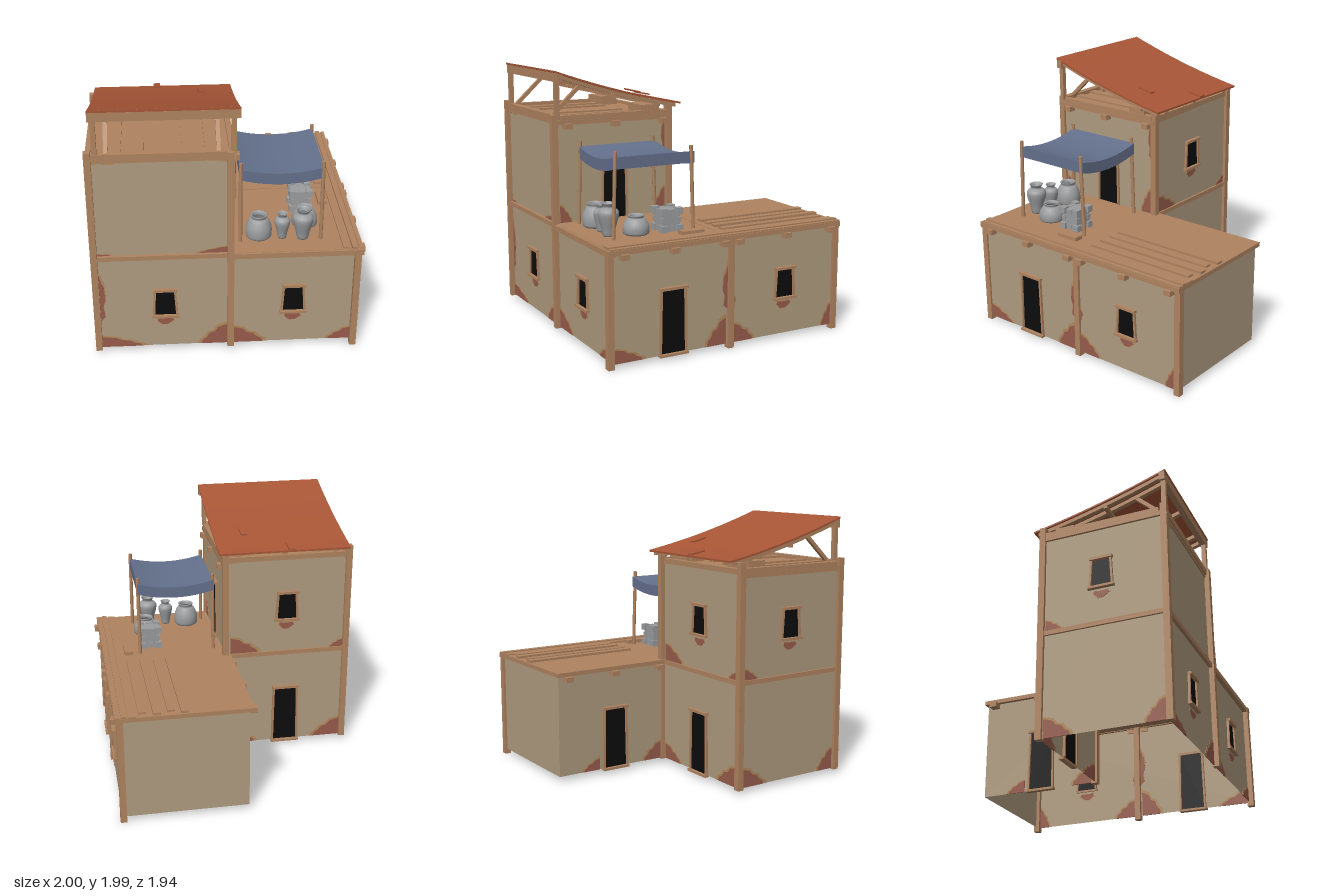
import * as THREE from 'three';

const std = (name, color, side = THREE.FrontSide) => {
  const m = new THREE.MeshStandardMaterial({ color, side });
  m.name = name;
  return m;
};

export function createModel() {
  const root = new THREE.Group();
  root.name = 'house';
  const plaster = std('plaster', 0xb09c80, THREE.DoubleSide);
  const wood = std('wood', 0xb08460);
  const brick = std('brick', 0x985c4c);
  const clayEdge = std('clay edge', 0xb08a5c);
  const dark = std('dark opening', 0x0c0c0c);
  const rust = std('rust roof', 0xa85636);
  const cloth = std('blue cloth', 0x64708c, THREE.DoubleSide);
  const stone = std('grey pottery', 0x9a9c9e, THREE.DoubleSide);

  const add = (name, geo, mat, parent = root) => {
    const m = new THREE.Mesh(geo, mat);
    m.name = name;
    parent.add(m);
    return m;
  };
  // box from its limits
  const box = (name, mat, x0, x1, y0, y1, z0, z1, parent = root) => {
    const m = add(name, new THREE.BoxGeometry(x1 - x0, y1 - y0, z1 - z0), mat, parent);
    m.position.set((x0 + x1) / 2, (y0 + y1) / 2, (z0 + z1) / 2);
    return m;
  };
  // square or round bar between two points
  const bar = (name, a, b, r, sides) => {
    const p = new THREE.Vector3(...a), d = new THREE.Vector3(...b).sub(p);
    const geo = new THREE.CylinderGeometry(r, r, d.length(), sides);
    if (sides === 4) geo.rotateY(Math.PI / 4);
    const m = add(name, sides === 4 ? geo.toNonIndexed() : geo, wood);
    if (sides === 4) m.geometry.computeVertexNormals();
    m.position.copy(p).addScaledVector(d, 0.5);
    m.quaternion.setFromUnitVectors(new THREE.Vector3(0, 1, 0), d.normalize());
  };
  // wall whose local x runs along it and local z points outward
  const wall = (name, u0, u1, y0, y1, x, z, turn) => {
    const g = new THREE.Group();
    g.name = name;
    g.position.set(x, 0, z);
    g.rotation.y = turn * Math.PI / 2;
    root.add(g);
    add(name + 'Panel', new THREE.PlaneGeometry(u1 - u0, y1 - y0), plaster, g)
      .position.set((u0 + u1) / 2, (y0 + y1) / 2, 0);
    return g;
  };
  const plate = (name, pts, mat, depth, g) =>
    add(name, new THREE.ExtrudeGeometry(new THREE.Shape(pts.map(p => new THREE.Vector2(...p))),
      { depth, bevelEnabled: false }), mat, g).position.z = -depth / 2;
  // exposed brick with a rim of clay
  const patch = (g, u, y, w, h, outline) => {
    const at = k => outline.map(([a, b]) => [u + a * w * k, y + b * h * k]);
    plate('clayRim', at(1.13), clayEdge, 0.004, g);
    plate('brickPatch', at(1), brick, 0.008, g);
  };
  const CORNER = [[0, 0], [1, 0], [0.95, 0.2], [0.78, 0.34], [0.68, 0.56], [0.48, 0.62], [0.34, 0.86], [0, 1]];
  const STRIP = [[0, 0], [0.8, 0.08], [0.55, 0.3], [1, 0.45], [0.8, 0.75], [0.4, 0.82], [0, 1]];
  const BLOB = [[-0.8, -0.3], [-0.4, -1], [0.3, -0.9], [0.6, -0.4], [1, 0.1], [0.8, 0.8], [-0.3, 0.7], [-0.9, 0.9], [-1, 0.2]];
  const corner = (g, u, y, w, h) => patch(g, u, y, w, h, CORNER);
  const strip = (g, u, y, w, h) => patch(g, u, y, w, h, STRIP);

  // tapered opening with frame
  const opening = (kind, g, u, y0, y1, wt, wb, sill) => {
    plate(kind + 'Opening', [[u - wb, y0], [u + wb, y0], [u + wt, y1], [u - wt, y1]], dark, 0.009, g);
    box(kind + 'Lintel', wood, u - wt - 0.02, u + wt + 0.025, y1, y1 + 0.02, -0.01, 0.03, g);
    box(kind + 'Sill', wood, u - wb - sill, u + wb + sill, y0 - 0.018, y0, -0.01, 0.03, g);
    for (const s of [-1, 1]) {
      plate(kind + 'Jamb', [[u + s * wb, y0], [u + s * (wb + 0.016), y0],
        [u + s * (wt + 0.016), y1], [u + s * wt, y1]], wood, 0.036, g);
    }
  };
  const windowAt = (g, u, floor) => {
    opening('window', g, u, floor + 0.32, floor + 0.53, 0.065, 0.077, 0.024);
    patch(g, u, floor + 0.26, 0.06, 0.03, BLOB);
  };
  const doorAt = (g, u, y) => opening('door', g, u, y, y + 0.465, 0.088, 0.096, 0.018);

  // walls
  const front = wall('frontWall', -0.97, 0.94, 0.04, 0.82, 0, 0.93, 0);
  const frontUp = wall('towerFrontWall', -0.97, 0.01, 0.82, 1.62, 0, 0.93, 0);
  const right = wall('rightWall', -0.93, 0.95, 0.035, 0.82, 0.94, 0, 1);
  const rightUp = wall('towerRightWall', -0.93, 0, 0.82, 1.62, 0.01, 0, 1);
  wall('wingBackWall', -0.94, 0, 0.04, 0.82, 0, -0.95, 2);
  const wingLeft = wall('wingLeftWall', -0.95, 0, 0.04, 0.82, 0, 0, -1);
  const back = wall('towerBackWall', 0, 0.97, 0.04, 1.62, 0, 0, 2);
  const left = wall('towerLeftWall', 0, 0.93, 0.04, 1.62, -0.975, 0, -1);

  windowAt(front, -0.475, 0);
  windowAt(front, 0.47, 0);
  windowAt(right, 0.485, 0);
  windowAt(back, 0.485, 0.8);
  windowAt(left, 0.46, 0.8);
  doorAt(right, -0.46, 0.045);
  doorAt(rightUp, -0.46, 0.845);
  doorAt(back, 0.485, 0.045);
  doorAt(wingLeft, -0.46, 0.045);

  corner(front, -0.95, 0.04, 0.3, 0.09);
  corner(front, -0.02, 0.04, -0.19, 0.17);
  corner(front, 0.02, 0.04, 0.23, 0.14);
  corner(front, 0.91, 0.04, -0.17, 0.1);
  strip(front, -0.95, 0.28, 0.04, 0.4);
  corner(frontUp, -0.02, 0.845, -0.2, 0.045);
  strip(frontUp, -0.95, 0.84, 0.1, 0.02);
  corner(right, -0.92, 0.035, 0.22, 0.1);
  corner(right, -0.02, 0.035, -0.16, 0.2);
  strip(right, -0.01, 0.3, -0.04, 0.32);
  corner(right, 0.04, 0.035, 0.17, 0.14);
  strip(right, 0.03, 0.3, 0.03, 0.1);
  corner(right, 0.93, 0.035, -0.09, 0.17);
  corner(rightUp, -0.91, 0.845, 0.09, 0.13);
  corner(rightUp, -0.02, 0.845, -0.1, 0.2);
  strip(rightUp, -0.02, 1.3, -0.03, 0.3);
  corner(back, 0.03, 0.04, 0.2, 0.12);
  corner(back, 0.95, 0.04, -0.22, 0.15);
  corner(back, 0.03, 0.845, 0.22, 0.13);
  corner(back, 0.95, 0.845, -0.1, 0.06);
  corner(left, 0.03, 0.04, 0.2, 0.14);
  corner(left, 0.91, 0.04, -0.14, 0.16);
  corner(left, 0.03, 0.845, 0.12, 0.08);
  corner(wingLeft, -0.03, 0.04, -0.16, 0.14);
  corner(wingLeft, -0.6, 0.04, -0.14, 0.09);
  // clay showing along the tower's top edge
  plate('clayTopEdge', [[-0.95, 1.62], [-0.95, 1.58], [-0.92, 1.58], [-0.9, 1.595], [-0.87, 1.575], [-0.8, 1.575],
    [-0.78, 1.6], [-0.2, 1.6], [-0.1, 1.59], [-0.02, 1.57], [-0.02, 1.62]], clayEdge, 0.006, frontUp);

  // corner posts: x, z, bottom, top
  for (const [x, z, y0, y1] of [[-0.975, 0.94, 0.03, 1.68], [0.005, 0.945, 0.03, 1.66], [-0.975, 0, 0.03, 1.7],
    [0.01, -0.01, 0.03, 1.7], [0.93, 0.945, 0, 0.82], [0.935, -0.015, 0, 0.82], [0.935, -0.945, 0, 0.82]]) {
    box('cornerPost', wood, x - 0.024, x + 0.024, y0, y1, z - 0.024, z + 0.024);
  }

  // floor bands
  box('frontBand', wood, -0.97, 0, 0.81, 0.845, 0.91, 0.955);
  box('leftBand', wood, -0.99, -0.95, 0.81, 0.845, 0, 0.95);
  box('backBand', wood, -0.97, 0, 0.81, 0.845, -0.015, 0.02);
  box('frontWingBand', wood, 0.02, 0.97, 0.8, 0.84, 0.91, 0.965);
  box('rightBand', wood, 0.92, 0.97, 0.81, 0.845, -0.97, 0.97);

  // flat decks
  box('towerFloor', wood, -0.96, 0, 0.815, 0.84, 0.01, 0.92);
  box('frontDeck', wood, 0, 0.95, 0.815, 0.843, 0, 0.95);
  box('wingDeck', wood, -0.03, 0.96, 0.815, 0.847, -0.97, 0.02);
  box('towerDeck', wood, -0.97, 0.02, 1.59, 1.63, 0, 0.94);

  // loose deck planks
  for (const [x, z0, z1, h] of [[0.47, -0.955, -0.03, 0.865], [0.565, -0.92, -0.03, 0.862],
    [0.67, -0.955, -0.03, 0.866], [0.772, -0.92, -0.03, 0.862]]) {
    box('deckPlank', wood, x - 0.027, x + 0.027, 0.84, h, z0, z1);
  }
  box('edgePlank', wood, 0.82, 0.875, 0.84, 0.856, -0.97, 0.94);
  box('edgePlank', wood, 0.885, 0.925, 0.84, 0.862, -0.97, 0.95);
  box('edgePlank', wood, 0.935, 0.965, 0.84, 0.855, -0.97, 0.95);
  box('deckBlock', wood, 0.73, 0.8, 0.84, 0.872, 0.12, 0.3);

  // beam ends
  for (const z of [-0.88, -0.48, -0.07, 0.05, 0.46, 0.85]) {
    box('beamEnd', wood, 0.93, 0.995, 0.775, 0.815, z - 0.03, z + 0.03);
    if (z < 0) box('beamEnd', wood, -0.065, 0.02, 0.775, 0.815, z - 0.03, z + 0.03);
    else box('beamEnd', wood, 0, 0.07, 1.555, 1.595, z - 0.03, z + 0.03);
  }

  // tower rim and planks on top
  box('frontRim', wood, -0.96, 0.02, 1.61, 1.66, 0.9, 0.95);
  box('backRim', wood, -0.96, 0.02, 1.61, 1.65, -0.01, 0.03);
  for (const x of [-0.97, 0.015]) {
    box('sideBeam', wood, x - 0.022, x + 0.022, 1.585, 1.62, -0.02, 0.965);
    box('sideRim', wood, x - 0.02, x + 0.02, 1.62, 1.655, 0, 0.9);
  }
  box('roofBlock', wood, -0.95, -0.71, 1.62, 1.7, 0.08, 0.23);
  box('roofBlock', wood, -0.2, 0.03, 1.62, 1.7, 0.08, 0.23);
  for (const x of [-0.78, -0.62, -0.3, -0.14]) box('roofPlank', wood, x - 0.03, x + 0.03, 1.62, 1.645, 0.24, 0.9);

  // curved lean-to roof
  const roofY = z => {
    const t = (z + 0.09) / 1.04;
    return 1.705 + 0.185 * t + 0.09 * t * t;
  };
  const bent = (name, mat, w, h, z0, z1, x, drop) => {
    const geo = new THREE.BoxGeometry(w, h, z1 - z0, 1, 1, 10).translate(x, 0, (z0 + z1) / 2);
    const p = geo.attributes.position;
    for (let i = 0; i < p.count; i++) p.setY(i, p.getY(i) + roofY(p.getZ(i)) - drop);
    geo.computeVertexNormals();
    return add(name, geo, mat);
  };
  bent('roofSheet', rust, 1.03, 0.014, -0.09, 0.95, -0.445, 0);
  bent('roofPatch', rust, 0.05, 0.012, -0.1, 0.02, -0.49, -0.02);
  bent('roofPatch', rust, 0.05, 0.012, 0.14, 0.26, -0.175, -0.03).rotation.y = 0.05;
  for (const x of [-0.93, -0.85, -0.445, -0.08, 0.03]) bent('rafter', wood, 0.035, 0.03, -0.06, 0.92, x, 0.023);
  for (const z of [0.1, 0.48]) box('purlin', wood, -0.95, 0.06, roofY(z) - 0.055, roofY(z) - 0.03, z - 0.015, z + 0.015);
  box('frontFascia', wood, -0.96, 0.07, 1.905, 1.97, 0.9, 0.945);
  for (const x of [-0.925, 0.025]) box('roofPost', wood, x - 0.017, x + 0.017, 1.64, 1.93, 0.91, 0.945);
  for (const x of [-0.85, -0.08]) bar('roofStrut', [x, 1.65, 0.92], [x, 1.875, 0.68], 0.02, 4);

  // sagging awning, open below
  const awning = new THREE.BoxGeometry(0.6, 0.085, 0.64, 12, 1, 1);
  const { start, count } = awning.groups[3];
  const index = [...awning.index.array];
  index.splice(start, count);
  awning.setIndex(index);
  awning.clearGroups();
  const ap = awning.attributes.position;
  for (let i = 0; i < ap.count; i++) ap.setY(i, ap.getY(i) - 0.042 * (1 - (ap.getX(i) / 0.3) ** 2));
  awning.computeVertexNormals();
  add('awning', awning, cloth).position.set(0.38, 1.385, 0.46);
  for (const x of [0.085, 0.675]) {
    bar('awningPole', [x, 0.84, 0.79], [x, 1.47, 0.77], 0.014, 8);
    bar('awningPole', [x, 0.84, 0.145], [x, 1.47, 0.165], 0.014, 8);
  }

  // jars: radius and height pairs
  const jar = (name, x, z, r, h, profile) =>
    add(name, new THREE.LatheGeometry(new THREE.SplineCurve(profile.map(([a, b]) =>
      new THREE.Vector2(a * r, b * h))).getPoints(24), 20), stone).position.set(x, 0.843, z);
  const WIDE = [[0, 0], [0.85, 0], [1, 0.2], [0.96, 0.5], [0.72, 0.8], [0.56, 0.87], [0.64, 1], [0.5, 0.98], [0.45, 0.85]];
  const VASE = [[0, 0], [0.5, 0], [0.68, 0.25], [1, 0.65], [0.85, 0.8], [0.5, 0.88], [0.7, 1], [0.55, 0.98], [0.4, 0.87]];
  jar('wideJar', 0.225, 0.72, 0.097, 0.18, WIDE);
  jar('wideJar', 0.585, 0.565, 0.097, 0.14, WIDE);
  jar('smallVase', 0.395, 0.75, 0.058, 0.2, VASE);
  jar('tallVase', 0.545, 0.765, 0.077, 0.24, VASE);

  // knobbly crate
  const crate = new THREE.Group();
  crate.name = 'crate';
  crate.position.set(0.58, 0.93, 0.31);
  root.add(crate);
  box('crateBody', stone, -0.07, 0.07, -0.085, 0.075, -0.07, 0.07, crate);
  for (let i = 0; i < 27; i++) {
    const c = [i % 3 - 1, Math.floor(i / 3) % 3 - 1, Math.floor(i / 9) - 1];
    const n = Math.abs(c[0]) + Math.abs(c[1]) + Math.abs(c[2]);
    if (n < 2) continue;
    const s = n === 3 ? 0.05 : 0.036;
    add('crateKnob', new THREE.BoxGeometry(s, s, s), stone, crate)
      .position.set(...c.map(v => v * (n === 3 ? 0.063 : 0.06)));
  }
  return root;
}
